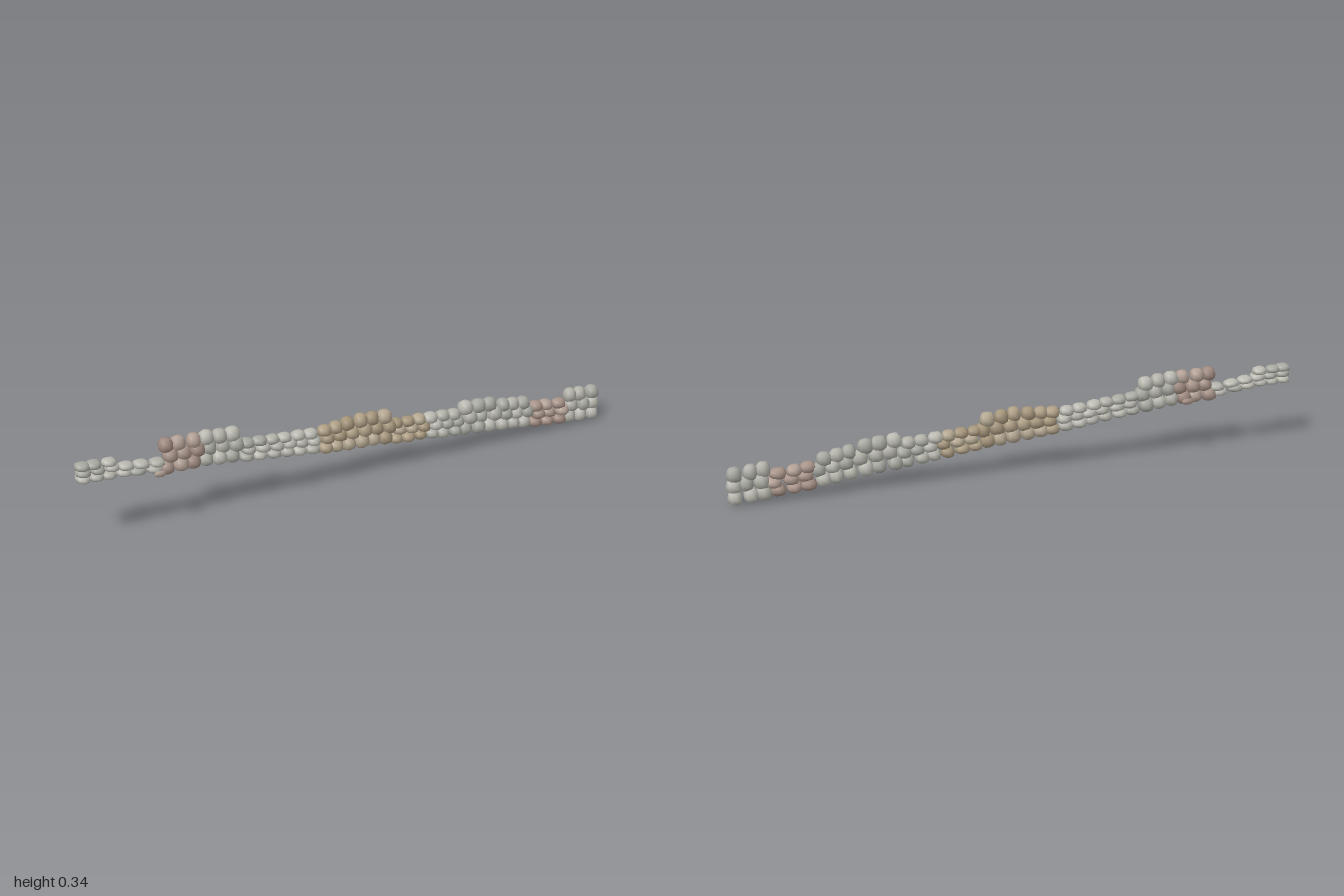
import * as THREE from 'three';
import { mergeVertices } from 'three/addons/utils/BufferGeometryUtils.js';

const GREY = [0xb3b3aa, 0xa9aaa2, 0xbcbcb3];
const OLIVE = [0xb0a086, 0xa6967c, 0xb5a892];
const RED = [0xa9958a, 0x9f8a80, 0xb3a196];

// Small seeded random
let seed = 7;
const rnd = () => {
  seed = (seed * 16807) % 2147483647;
  return seed / 2147483647;
};
const vary = (amount) => (rnd() * 2 - 1) * amount;

// Wall line on the ground plan
const SLOPE = 0.425;
const YAW = -Math.atan(SLOPE);

// Squared-off low-poly pebble of the given size, with smooth normals
function stoneGeometry(length, height, depth) {
  const sphere = new THREE.SphereGeometry(1, 8, 6);
  sphere.deleteAttribute('uv');
  sphere.deleteAttribute('normal');
  const geo = mergeVertices(sphere, 1e-3);
  const p = geo.attributes.position;
  const phase = rnd() * 6;
  const square = (v, e) => Math.sign(v) * Math.pow(Math.abs(v), e);
  for (let i = 0; i < p.count; i++) {
    const x = p.getX(i), y = p.getY(i), z = p.getZ(i);
    const bump = 1 + 0.08 * Math.sin(x * 3 + phase) * Math.cos(z * 3 + y * 2 - phase);
    p.setXYZ(i,
      square(x, 0.75) * bump * length / 2,
      square(y, 0.85) * height / 2,
      square(z, 0.85) * bump * depth / 2);
  }
  geo.computeVertexNormals();
  return geo;
}

function makeStone(name, materials, size, position) {
  const mesh = new THREE.Mesh(stoneGeometry(...size), materials[Math.floor(rnd() * materials.length)]);
  mesh.name = name;
  mesh.position.set(...position);
  mesh.rotation.set(vary(0.08), YAW + vary(0.12), -0.06 + vary(0.08));
  return mesh;
}

// Stretches: from x, to x, base y at each end, top y at each end, courses, stones per course, colours
const STRETCHES = [
  [-1.00, -0.86, 0.250, 0.243, 0.325, 0.318, 3, 3, GREY],
  [-0.86, -0.71, 0.243, 0.222, 0.292, 0.270, 2, 3, GREY],
  [-0.71, -0.57, 0.208, 0.206, 0.345, 0.338, 3, 3, RED],
  [-0.57, -0.43, 0.206, 0.188, 0.342, 0.326, 3, 3, GREY],
  [-0.43, -0.14, 0.188, 0.146, 0.274, 0.244, 3, 6, GREY],
  [-0.14, 0.00, 0.144, 0.126, 0.246, 0.262, 3, 3, OLIVE],
  [0.00, 0.14, 0.126, 0.114, 0.266, 0.252, 3, 3, OLIVE],
  [0.14, 0.28, 0.112, 0.094, 0.208, 0.200, 3, 3, OLIVE],
  [0.28, 0.42, 0.094, 0.074, 0.200, 0.188, 3, 3, GREY],
  [0.42, 0.57, 0.074, 0.056, 0.214, 0.200, 3, 3, GREY],
  [0.57, 0.71, 0.056, 0.036, 0.188, 0.166, 3, 3, GREY],
  [0.71, 0.86, 0.034, 0.018, 0.142, 0.124, 3, 3, RED],
  [0.86, 1.00, 0.014, 0.003, 0.160, 0.146, 3, 3, GREY],
];

export function createModel() {
  seed = 7;
  const model = new THREE.Group();
  model.name = 'dryStoneWall';
  const palettes = new Map([GREY, OLIVE, RED].map((colors) => [colors,
    colors.map((color) => new THREE.MeshStandardMaterial({ color }))]));

  // Stacked courses, stretch by stretch, each stone bedded into its neighbours
  STRETCHES.forEach(([x0, x1, b0, b1, t0, t1, courses, count, colors], s) => {
    const stretch = new THREE.Group();
    stretch.name = `wallStretch${s + 1}`;
    const pitch = (x1 - x0) / count;
    for (let row = 0; row < courses; row++) {
      for (let i = 0; i < count; i++) {
        const t = (i + 0.5) / count;
        const atEnd = (s === 0 && i === 0) || (s === STRETCHES.length - 1 && i === count - 1);
        const x = x0 + (i + 0.5) * pitch + (atEnd ? 0 : (row % 2 ? 0.006 : -0.006) + vary(0.004));
        const base = THREE.MathUtils.lerp(b0, b1, t);
        const top = THREE.MathUtils.lerp(t0, t1, t);
        const height = (top - base) / courses * 1.2;
        const y = THREE.MathUtils.lerp(base + height / 2, top - height / 2, row / (courses - 1));
        const size = [pitch * 1.18 * (1 + vary(0.06)), height, 0.066 - row * 0.005 + vary(0.004)];
        const name = row === courses - 1 ? 'copingStone' : 'wallStone';
        stretch.add(makeStone(name, palettes.get(colors), size, [x, y, x * SLOPE + vary(0.003)]));
      }
    }
    model.add(stretch);
  });

  // Loose fallen stones beside the low stretch
  for (const position of [[-0.75, 0.235, -0.27], [-0.57, 0.235, -0.31]]) {
    model.add(makeStone('fallenStone', palettes.get(RED), [0.045, 0.022, 0.02], position));
  }
  return model;
}
